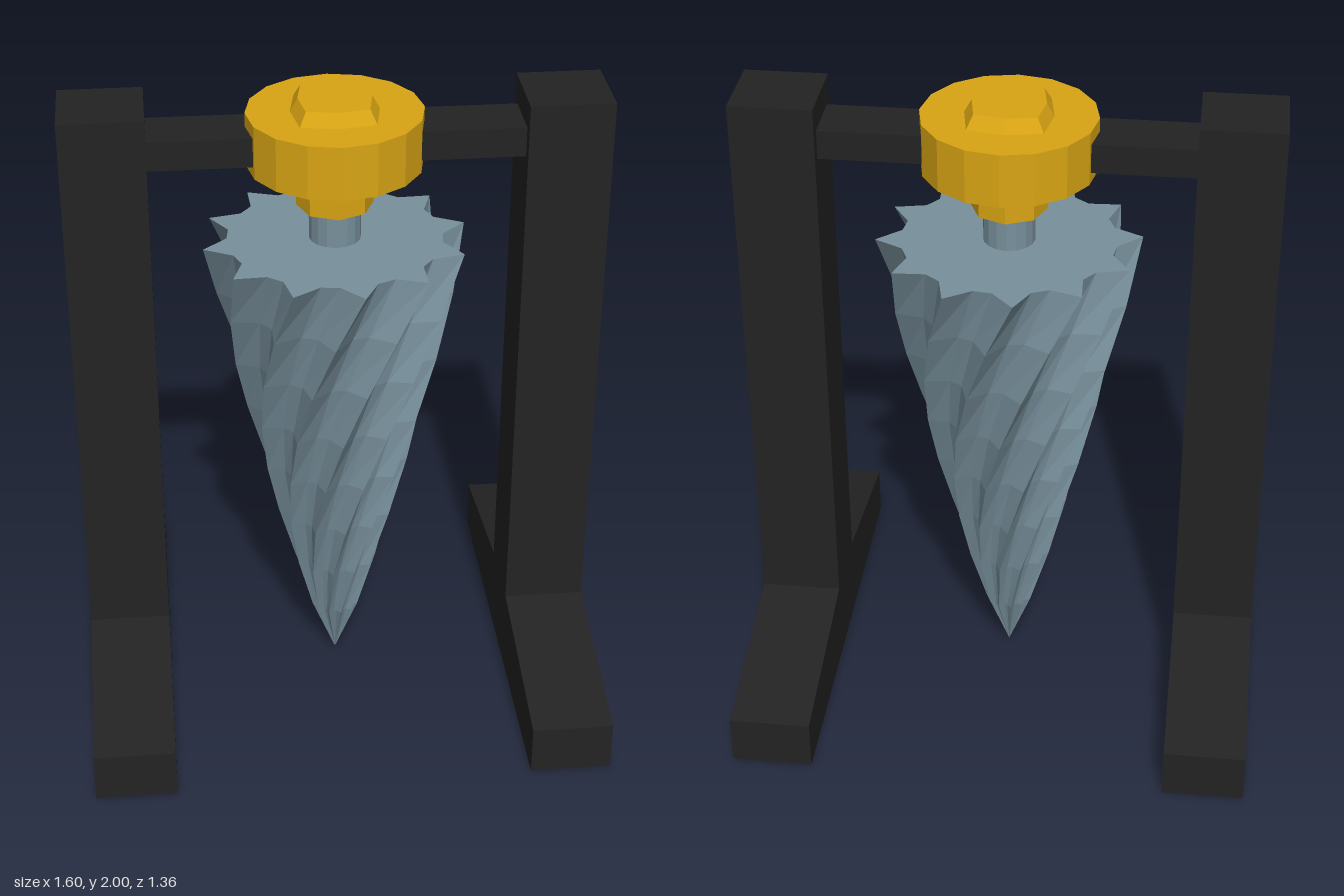
import * as THREE from 'three';

const black = new THREE.MeshStandardMaterial({ color: 0x232323 });
black.name = 'blackFrame';
const gold = new THREE.MeshStandardMaterial({ color: 0xd9a514 });
gold.name = 'goldFitting';
const steel = new THREE.MeshStandardMaterial({ color: 0x78909c });
steel.name = 'blueSteel';

// Flat-faced copy of a geometry
function faceted(geometry) {
  const flat = geometry.index ? geometry.toNonIndexed() : geometry;
  flat.computeVertexNormals();
  return flat;
}

function add(parent, name, geometry, material, x = 0, y = 0, z = 0) {
  const mesh = new THREE.Mesh(geometry, material);
  mesh.name = name;
  mesh.position.set(x, y, z);
  parent.add(mesh);
  return mesh;
}

function cylinder(radius, bottom, top, sides) {
  return faceted(new THREE.CylinderGeometry(radius, radius, top - bottom, sides))
    .translate(0, (top + bottom) / 2, 0);
}

// Post with its sloping foot, drawn from the side and extruded across x
function postGeometry() {
  const shape = new THREE.Shape([
    [-0.68, 0], [0.68, 0], [0.68, 0.16], [0.123, 0.26],
    [0.123, 2], [-0.123, 2], [-0.123, 0.26], [-0.68, 0.16],
  ].map(([z, y]) => new THREE.Vector2(z, y)));
  return new THREE.ExtrudeGeometry(shape, { depth: 0.25, bevelEnabled: false })
    .rotateY(Math.PI / 2);
}

// Toothed cone: twelve-tooth sections that twist and shrink towards the point
function drillGeometry() {
  const teeth = 12, levels = 8, height = 1.55, count = teeth * 3;
  const twist = THREE.MathUtils.degToRad(100);
  const start = THREE.MathUtils.degToRad(22.5);
  const point = (level, i) => {
    const t = level / levels;
    const r = 0.4 * Math.pow(t, 0.8) * (i % 3 === 0 ? 1 : 0.81);
    const a = start + (i / count) * Math.PI * 2 + twist * (1 - t);
    return [r * Math.cos(a), t * height, r * Math.sin(a)];
  };
  const out = [];
  for (let i = 0; i < count; i++) {
    for (let j = 0; j < levels; j++) {
      const a = point(j, i), b = point(j, i + 1);
      const c = point(j + 1, i), d = point(j + 1, i + 1);
      if (j > 0) out.push(...a, ...c, ...b);
      out.push(...b, ...c, ...d);
    }
    // flat top
    out.push(0, height, 0, ...point(levels, i + 1), ...point(levels, i));
  }
  const g = new THREE.BufferGeometry();
  g.setAttribute('position', new THREE.Float32BufferAttribute(out, 3));
  g.computeVertexNormals();
  return g;
}

// Squared-off cap: an eight-sided frustum with its diagonal corners pulled out
function capGeometry() {
  const g = new THREE.CylinderGeometry(0.112, 0.135, 0.04, 8);
  const p = g.attributes.position;
  for (let i = 0; i < p.count; i++) {
    const x = p.getX(i), z = p.getZ(i);
    const k = Math.abs(x * z) > 0.001 ? 1.2 : 1;
    p.setXYZ(i, x * k * 0.97, p.getY(i), z * k * 1.02);
  }
  return faceted(g).translate(0, 1.98, 0);
}

export function createModel() {
  const model = new THREE.Group();
  model.name = 'drillStand';

  // Frame
  const post = postGeometry();
  add(model, 'leftPost', post, black, 0.55);
  add(model, 'rightPost', post, black, -0.8);
  add(model, 'crossBeam', new THREE.BoxGeometry(1.12, 0.09, 0.174), black, 0, 1.873, 0);

  // Holder
  add(model, 'collar', cylinder(0.262, 1.795, 1.96, 16), gold);
  add(model, 'nut', cylinder(0.115, 1.66, 1.8, 8), gold);
  add(model, 'cap', capGeometry(), gold);

  // Drill
  add(model, 'shaft', cylinder(0.078, 1.54, 1.67, 16), steel);
  add(model, 'drillCone', drillGeometry(), steel);

  return model;
}
